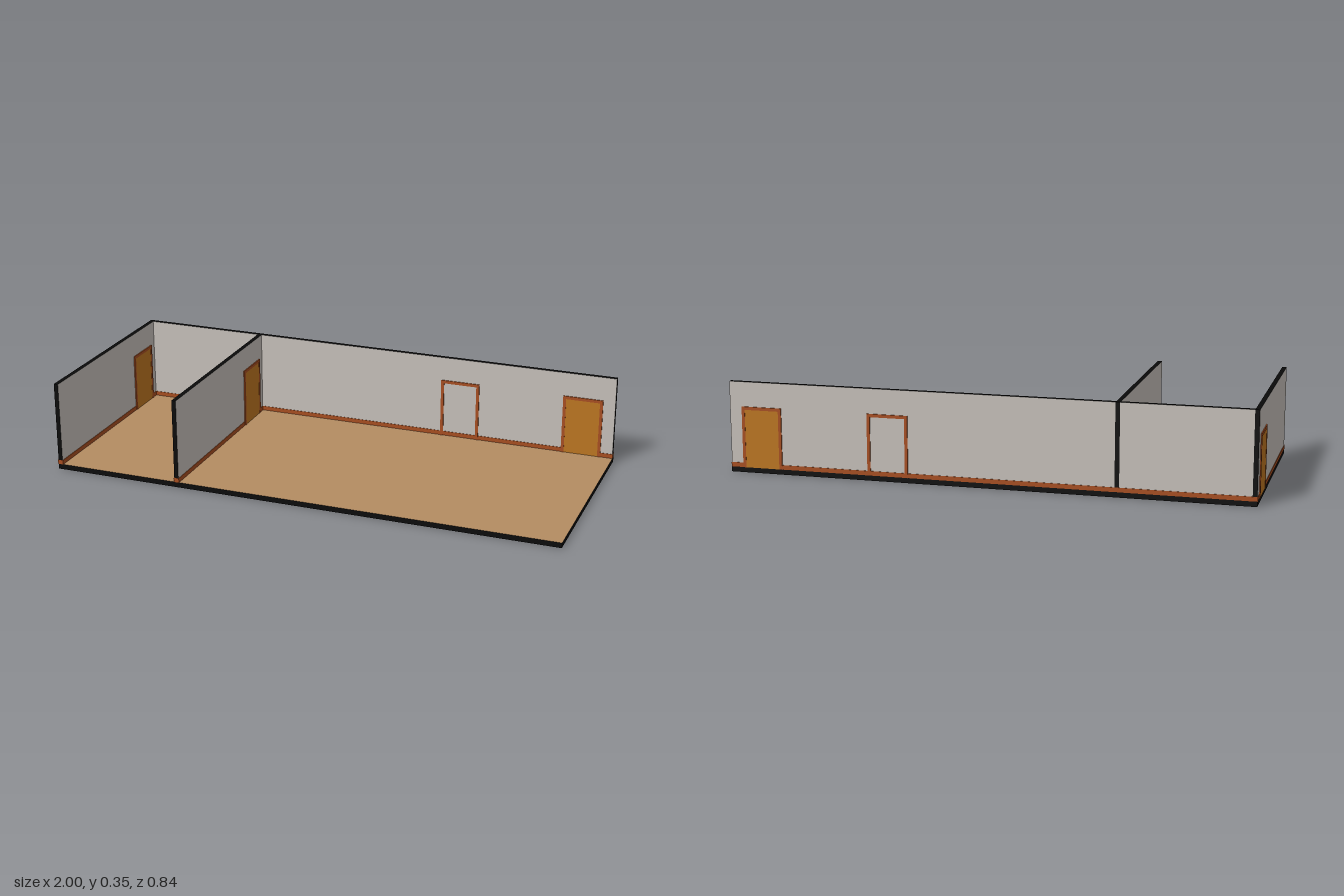
import * as THREE from 'three';

const mat = (name, color, opts = {}) => {
  const m = new THREE.MeshStandardMaterial({ color, ...opts });
  m.name = name;
  return m;
};

export function createModel() {
  const plaster = mat('plaster', 0xc6c0ba);
  const cut = mat('cutEdge', 0x0a0a0a);
  const floorTan = mat('floorTan', 0xb48c62);
  const trim = mat('trimWood', 0xa84e20);
  const doorWood = mat('doorWood', 0xbd7620);

  const model = new THREE.Group();
  model.name = 'roomSection';

  const BASE = 0.02, TOP = 0.35, T = 0.017; // floor level, wall top, wall thickness
  const Z0 = -0.415, Z1 = 0.415;

  // Box given by its limits
  function box(parent, name, material, x0, x1, y0, y1, z0, z1) {
    const m = new THREE.Mesh(new THREE.BoxGeometry(x1 - x0, y1 - y0, z1 - z0), material);
    m.position.set((x0 + x1) / 2, (y0 + y1) / 2, (z0 + z1) / 2);
    m.name = name;
    parent.add(m);
    return m;
  }

  // Wall along local x from a to b, with a baseboard wrapping both faces
  function wall(name, a, b) {
    const g = new THREE.Group();
    g.name = name;
    box(g, 'panel', [cut, cut, cut, cut, plaster, plaster], a, b, BASE, TOP, -T / 2, T / 2);
    const d = T / 2 + 0.002;
    box(g, 'baseboard', trim, a - 0.001, b + 0.001, BASE, 0.037, -d, d);
    model.add(g);
    return g;
  }

  // Door frame on both faces of a wall; the leaf is optional
  function doorway(g, a, b, hasLeaf) {
    const w = 0.012, top = 0.255, d = T / 2 + 0.004;
    box(g, 'doorJamb', trim, a, a + w, BASE, top, -d, d);
    box(g, 'doorJamb', trim, b - w, b, BASE, top, -d, d);
    box(g, 'doorHead', trim, a + w, b - w, top - w, top, -d, d);
    if (hasLeaf) {
      const e = T / 2 + 0.003;
      box(g, 'doorLeaf', doorWood, a + w, b - w, BASE, top - w, -e, e);
    }
  }

  // Floor slab with dark sides
  box(model, 'floor', [cut, cut, floorTan, floorTan, cut, cut], -0.996, 1, 0.001, BASE, Z0, Z1);

  // Dark joints under the slab
  for (const x of [-0.987, -0.492, 0.492])
    box(model, 'floorJoint', cut, x - T / 2, x + T / 2, 0, 0.002, Z0, Z1);
  box(model, 'backFloorJoint', cut, -0.996, 1, 0, 0.002, Z0, Z0 + T);
  box(model, 'frontFloorJoint', cut, -0.996, 1, 0, 0.002, Z1 - 0.008, Z1);

  // Cross walls: the end wall and the partition, each with a door near the back
  for (const [name, x] of [['endWall', -0.9875], ['partitionWall', -0.492]]) {
    const g = wall(name, Z0, Z1);
    doorway(g, -0.369, -0.21, true);
    g.position.x = x;
    g.rotation.y = -Math.PI / 2;
  }

  // Back wall in two bays, with an empty frame and a door in the long one
  const zBack = Z0 + T / 2;
  const small = wall('backWallSmallRoom', -0.9875 + T / 2, -0.492 - T / 2);
  const large = wall('backWallLargeRoom', -0.492 + T / 2, 0.999);
  small.position.z = large.position.z = zBack;
  doorway(large, 0.295, 0.453, false);
  doorway(large, 0.793, 0.951, true);

  return model;
}
